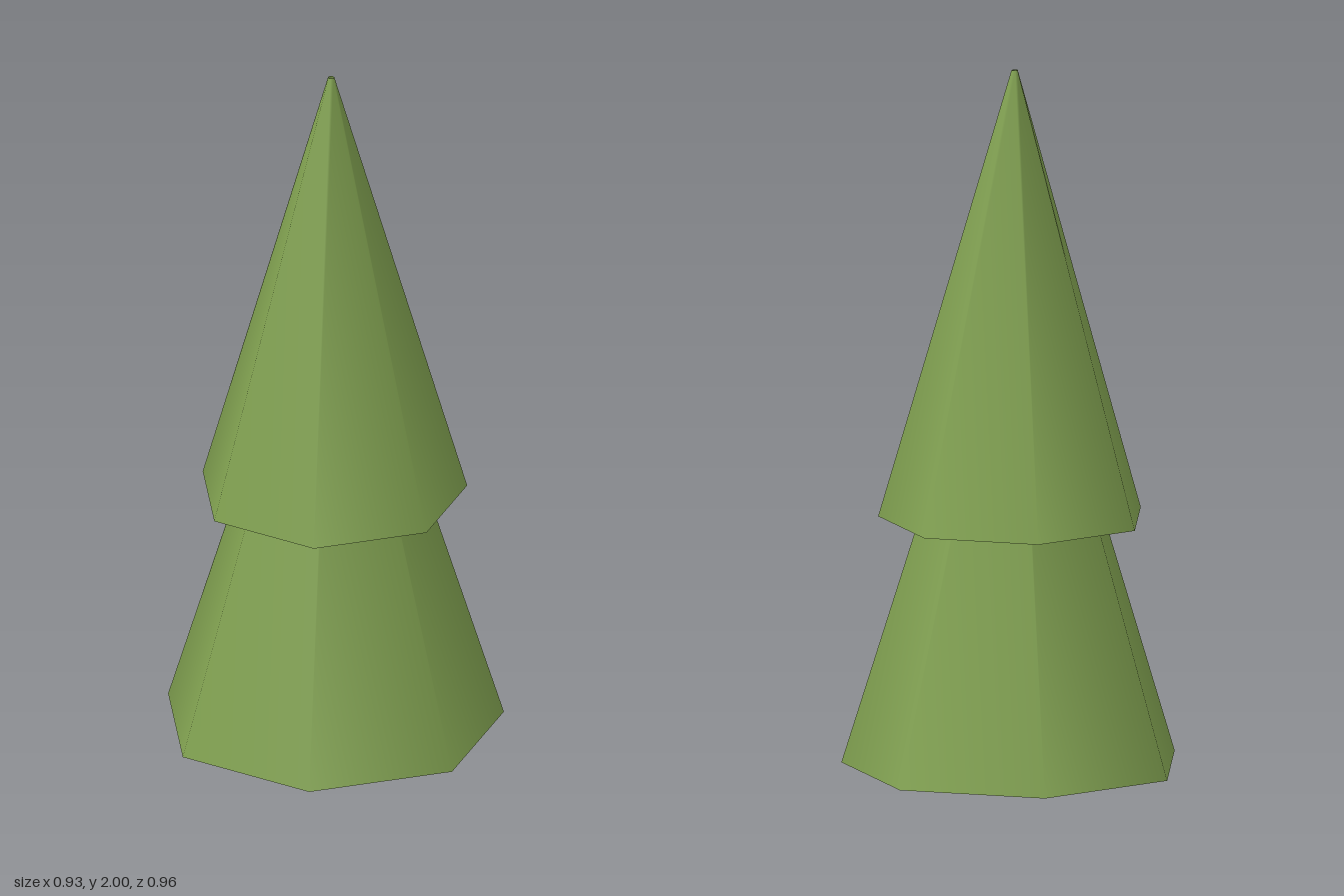
import * as THREE from 'three';

export function createModel() {
  const group = new THREE.Group();
  group.name = 'tree';
  const green = new THREE.MeshStandardMaterial({ color: 0x7f9f4f, side: THREE.DoubleSide });
  green.name = 'leaf green';

  // Seven-sided open cone with smooth normals, one corner pointing to +x
  const addTier = (name, radius, bottom, top) => {
    const height = top - bottom;
    const geometry = new THREE.CylinderGeometry(0.009, radius, height, 7, 1, true, Math.PI / 2);
    const tier = new THREE.Mesh(geometry, green);
    tier.name = name;
    // Shifted so the seven-sided outline is centred on x
    tier.position.set(-0.025, bottom + height / 2, 0);
    group.add(tier);
  };

  addTier('lowerFoliage', 0.49, 0, 1.54);
  addTier('upperFoliage', 0.386, 0.71, 2);
  return group;
}
